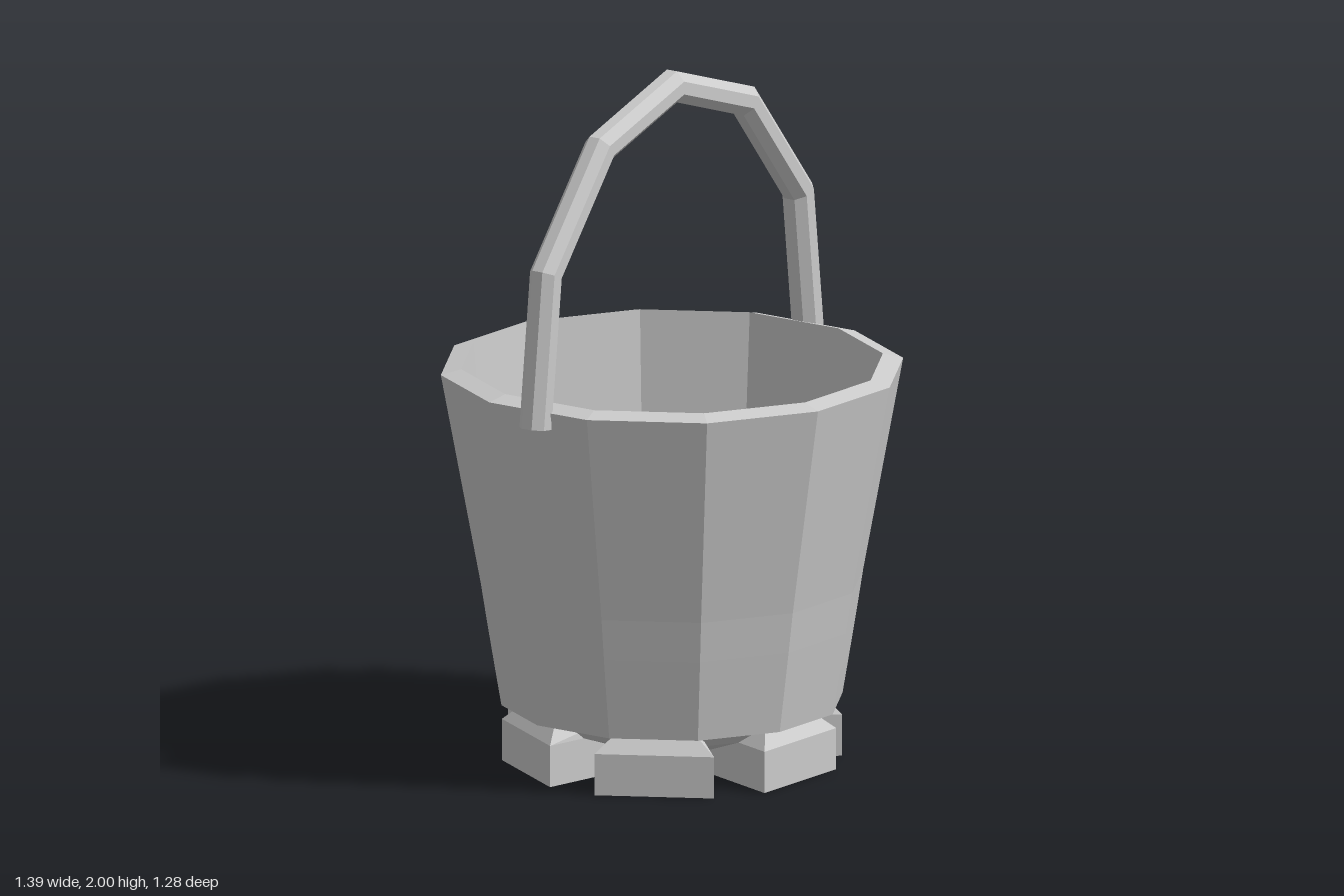
import * as THREE from 'three';

const material = new THREE.MeshStandardMaterial({
  color: 0xcccccc, flatShading: true, side: THREE.DoubleSide,
});

function addMesh(parent, name, geometry) {
  const mesh = new THREE.Mesh(geometry, material);
  mesh.name = name;
  parent.add(mesh);
  return mesh;
}

// Twelve-sided turned shape with flats facing the axes
function turned(profile) {
  const points = profile.map(([r, y]) => new THREE.Vector2(r, y));
  return new THREE.LatheGeometry(points, 12, Math.PI / 12);
}

// Joins equal-sized rings of [x, y, z] corners and closes both ends
function loft(rings) {
  const n = rings[0].length;
  const index = [];
  for (let i = 0; i < rings.length - 1; i++) {
    for (let j = 0; j < n; j++) {
      const a = i * n + j, b = i * n + (j + 1) % n;
      index.push(a, b, b + n, a, b + n, a + n);
    }
  }
  const last = (rings.length - 1) * n;
  for (let j = 1; j < n - 1; j++) {
    index.push(0, j + 1, j, last, last + j, last + j + 1);
  }
  const geometry = new THREE.BufferGeometry();
  geometry.setAttribute('position', new THREE.Float32BufferAttribute(rings.flat(2), 3));
  geometry.setIndex(index);
  geometry.computeVertexNormals();
  return geometry;
}

// Arched handle: an octagonal bar mitred at each bend
function handleGeometry() {
  const half = [[0.65, 1.093], [0.6, 1.53], [0.343, 1.845]];
  const path = [...half, [0, 1.957], ...half.map(([x, y]) => [-x, y]).reverse()]
    .map(([x, y]) => new THREE.Vector2(x, y));
  const radius = 0.0465;
  const rings = path.map((p, i) => {
    const before = p.clone().sub(path[Math.max(i - 1, 0)]).normalize();
    const after = path[Math.min(i + 1, path.length - 1)].clone().sub(p).normalize();
    const along = before.clone().add(after).normalize();
    const mitre = 1 / along.dot(i === 0 ? after : before);
    return Array.from({ length: 8 }, (_, k) => {
      const angle = (k + 0.5) * Math.PI / 4;
      const out = Math.cos(angle) * radius * mitre;
      return [p.x + along.y * out, p.y - along.x * out, Math.sin(angle) * radius];
    });
  });
  return loft(rings);
}

// Wedge-shaped foot with a sloping shoulder, facing +z
function footGeometry() {
  const layer = (y, outerHalf, outer, innerHalf, inner) => [
    [-outerHalf, y, outer], [outerHalf, y, outer],
    [innerHalf, y, inner], [-innerHalf, y, inner],
  ];
  return loft([
    layer(0, 0.17, 0.45, 0.06, 0.13),
    layer(0.12, 0.17, 0.45, 0.06, 0.13),
    layer(0.175, 0.11, 0.407, 0.05, 0.13),
  ]);
}

export function createModel() {
  const model = new THREE.Group();
  model.name = 'bucket';

  // Tapered body: floor, banded lower wall, rim and inner wall
  addMesh(model, 'body', turned([
    [0, 0.172], [0.42, 0.172], [0.487, 0.172], [0.507, 0.29], [0.527, 0.41],
    [0.546, 0.53], [0.66, 1.14], [0.602, 1.155], [0.546, 0.53],
  ]));

  // Recessed core between the feet
  addMesh(model, 'baseCore', turned([
    [0, 0.05], [0.16, 0.05], [0.36, 0.12], [0.42, 0.172],
  ]));

  // Six feet around the base
  const feet = new THREE.Group();
  feet.name = 'feet';
  const foot = footGeometry();
  for (let i = 0; i < 6; i++) {
    addMesh(feet, 'foot', foot).rotation.y = i * Math.PI / 3;
  }
  model.add(feet);

  addMesh(model, 'handle', handleGeometry());
  return model;
}
